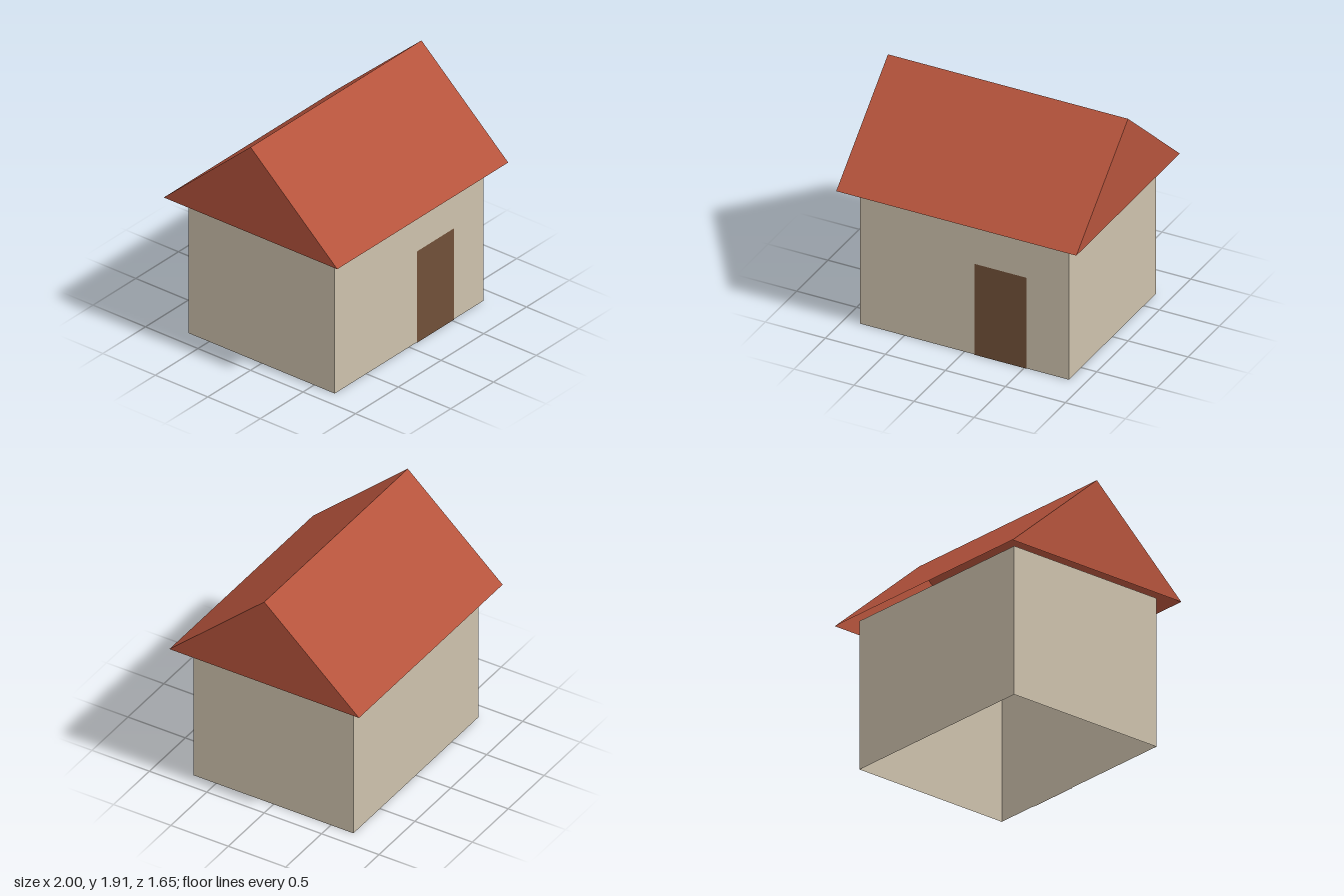
import * as THREE from 'three';

const material = (color) =>
  new THREE.MeshStandardMaterial({ color, side: THREE.DoubleSide, flatShading: true });

// Flat-shaded sheet from polygons, each a fan of corners in counter-clockwise order.
function sheet(name, polygons, color) {
  const points = [];
  for (const p of polygons) {
    for (let i = 1; i < p.length - 1; i++) points.push(...p[0], ...p[i], ...p[i + 1]);
  }
  const geometry = new THREE.BufferGeometry();
  geometry.setAttribute('position', new THREE.Float32BufferAttribute(points, 3));
  geometry.computeVertexNormals();
  const mesh = new THREE.Mesh(geometry, material(color));
  mesh.name = name;
  return mesh;
}

export function createModel() {
  const house = new THREE.Group();
  house.name = 'house';

  // Four thin walls, open below and above, rising a little into the roof
  const wx = 0.87, wz = 0.696, wallTop = 1.21;
  const corners = [[-wx, wz], [wx, wz], [wx, -wz], [-wx, -wz]];
  const walls = corners.map(([x0, z0], i) => {
    const [x1, z1] = corners[(i + 1) % 4];
    return [[x0, 0, z0], [x1, 0, z1], [x1, wallTop, z1], [x0, wallTop, z0]];
  });
  house.add(sheet('walls', walls, 0xcdc1ac));

  // Gabled roof shell with overhanging eaves, open underneath
  const rx = 1, rz = 0.826, eave = 1.174, ridge = 1.913;
  const roof = [];
  for (const s of [1, -1]) {
    roof.push(
      [[-s * rx, eave, s * rz], [s * rx, eave, s * rz], [s * rx, ridge, 0], [-s * rx, ridge, 0]],
      [[s * rx, eave, s * rz], [s * rx, eave, -s * rz], [s * rx, ridge, 0]],
    );
  }
  house.add(sheet('roof', roof, 0xb5533c));

  // Flat door panel just in front of the front wall
  const door = new THREE.Mesh(new THREE.PlaneGeometry(0.433, 0.783), material(0x705038));
  door.name = 'door';
  door.position.set(0.304, 0.3915, wz + 0.005);
  house.add(door);

  return house;
}
